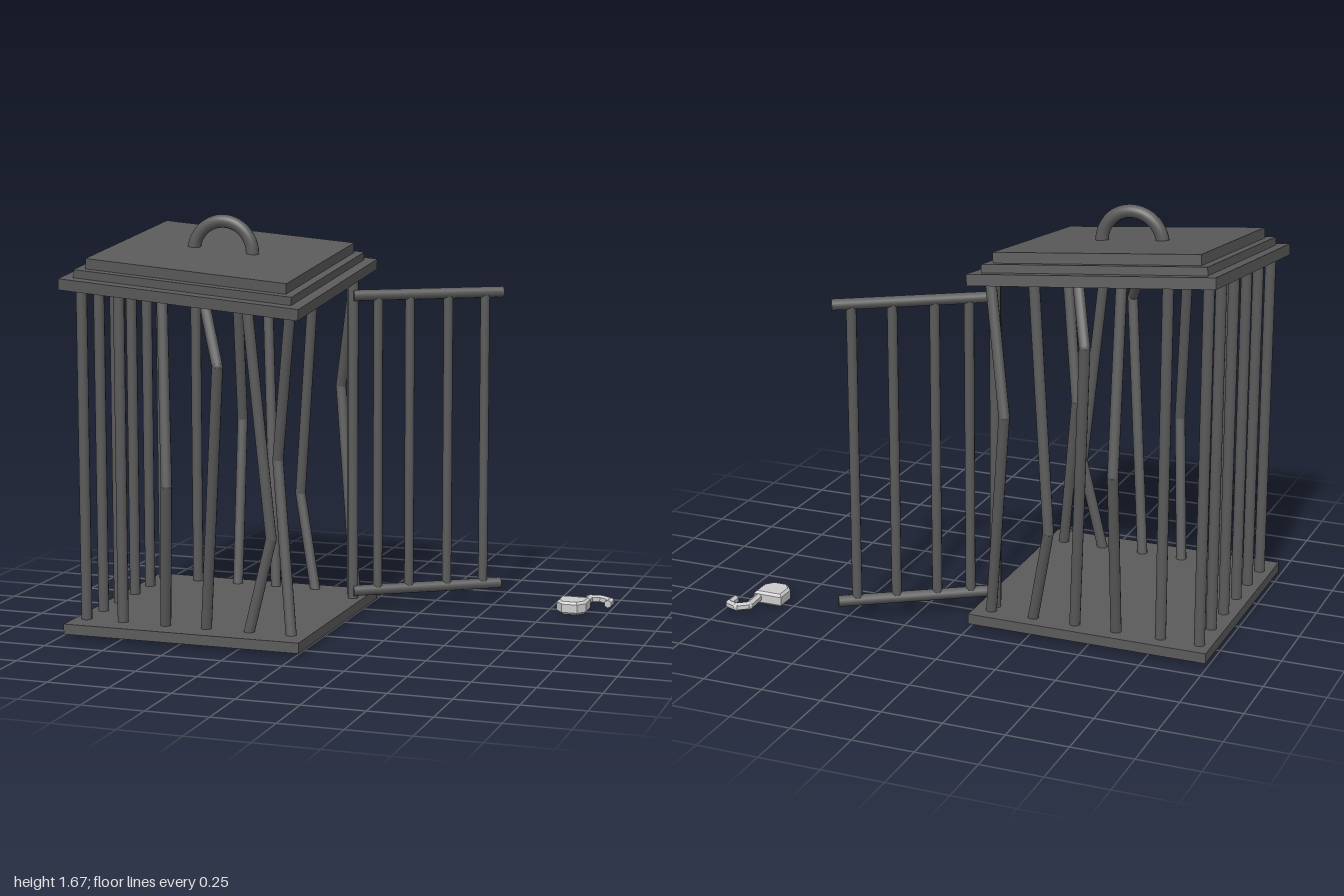
import * as THREE from 'three';

const iron = new THREE.MeshStandardMaterial({ color: 0x5a5a5a });
const steel = new THREE.MeshStandardMaterial({ color: 0xcccccc, flatShading: true });
const UP = new THREE.Vector3(0, 1, 0);
const LID = { x: -0.49, y: 1.41, z: 0.09, tiltX: 0.113, tiltZ: -0.09 };

// Underside height of the crooked lid at a given spot
const lidY = (x, z) => LID.y + LID.tiltZ * (x - LID.x) - LID.tiltX * (z - LID.z);

function add(parent, name, geometry, material = iron) {
  const mesh = new THREE.Mesh(geometry, material);
  mesh.name = name;
  parent.add(mesh);
  return mesh;
}

// Round rod through a list of points, with a ball at each elbow
function rod(parent, name, points, radius = 0.022, sides = 12, material = iron) {
  const group = new THREE.Group();
  group.name = name;
  const p = points.map(a => new THREE.Vector3(...a));
  for (let i = 0; i < p.length - 1; i++) {
    const dir = p[i + 1].clone().sub(p[i]);
    const seg = add(group, name + 'Segment', new THREE.CylinderGeometry(radius, radius, dir.length(), sides), material);
    seg.position.copy(p[i]).add(p[i + 1]).multiplyScalar(0.5);
    seg.quaternion.setFromUnitVectors(UP, dir.normalize());
    if (i > 0) add(group, name + 'Elbow', new THREE.SphereGeometry(radius, sides, 8), material).position.copy(p[i]);
  }
  parent.add(group);
}

// Cage bar from floor to lid, optionally bent through one point
function cageBar(parent, name, x, z, bend) {
  const top = [x, lidY(x, z) + 0.015, z];
  rod(parent, name, bend ? [[x, 0.04, z], bend, top] : [[x, 0.04, z], top]);
}

function createLid() {
  const lid = new THREE.Group();
  lid.name = 'lid';
  lid.position.set(LID.x, LID.y, LID.z);
  lid.rotation.set(LID.tiltX, 0, LID.tiltZ);
  // Stepped slabs: size, bottom, top
  [[1.0, 0, 0.045], [0.91, 0.045, 0.078], [0.84, 0.078, 0.12]].forEach(([size, y0, y1]) => {
    add(lid, 'lidSlab', new THREE.BoxGeometry(size, y1 - y0, size)).position.y = (y0 + y1) / 2;
  });
  return lid;
}

function createDoor() {
  const door = new THREE.Group();
  door.name = 'door';
  const at = (x, y) => [x, y, -0.21 - 0.64 * (x + 0.03)];
  for (const y of [0.085, 1.33]) rod(door, 'doorRail', [at(-0.03, y), at(0.515, y)], 0.023);
  for (const x of [0.06, 0.175, 0.315, 0.45]) rod(door, 'doorBar', [at(x, 0.085), at(x, 1.33)], 0.02);
  return door;
}

function createPadlock() {
  const lock = new THREE.Group();
  lock.name = 'padlock';
  // Chamfered body lying flat on the ground
  const outline = [[0.8, 0.525], [0.905, 0.525], [0.905, 0.455], [0.88, 0.423], [0.825, 0.423], [0.8, 0.455]];
  const body = new THREE.ExtrudeGeometry(new THREE.Shape(outline.map(q => new THREE.Vector2(...q))), {
    depth: 0.035, bevelEnabled: true, bevelSegments: 1, bevelSize: 0.01, bevelThickness: 0.01,
  });
  body.rotateX(-Math.PI / 2);
  add(lock, 'padlockBody', body, steel).position.y = 0.01;
  // Open shackle
  rod(lock, 'shackle', [[0.895, 0.03, -0.52], [0.892, 0.028, -0.622], [0.935, 0.025, -0.645],
    [0.982, 0.022, -0.622], [0.982, 0.022, -0.57]], 0.017, 6, steel);
  return lock;
}

export function createModel() {
  const model = new THREE.Group();
  model.name = 'brokenCage';

  add(model, 'floor', new THREE.BoxGeometry(1, 0.042, 1)).position.set(-0.49, 0.031, 0.09);
  model.add(createLid());

  // Upright half-ring handle, following the sideways lean of the lid
  const handle = add(model, 'handle', new THREE.TorusGeometry(0.127, 0.027, 12, 24, Math.PI));
  handle.position.set(-0.485, 1.52, 0.093);
  handle.rotation.z = LID.tiltZ;

  // Front and back rows: x, front bend, back bend
  const rows = [
    [-0.94], [-0.78],
    [-0.595, [-0.535, 0.64, 0.595], [-0.62, 0.75, -0.47]],
    [-0.42, [-0.295, 1.13, 0.65], [-0.5, 1.25, -0.47]],
    [-0.24, [-0.145, 0.43, 0.47], [-0.33, 0.45, -0.4]],
    [-0.06, [-0.15, 0.73, 0.375], [-0.16, 0.92, -0.44]],
  ];
  for (const [x, front, back] of rows) {
    cageBar(model, 'frontBar', x, 0.475, front);
    cageBar(model, 'backBar', x, -0.335, back);
  }

  // Closed side, and the posts beside the door opening
  for (const z of [0.32, 0.162, -0.005, -0.168]) cageBar(model, 'sideBar', -0.935, z);
  cageBar(model, 'hingePost', -0.035, -0.225);
  cageBar(model, 'hingePost', -0.06, -0.29);

  model.add(createDoor(), createPadlock());
  return model;
}
